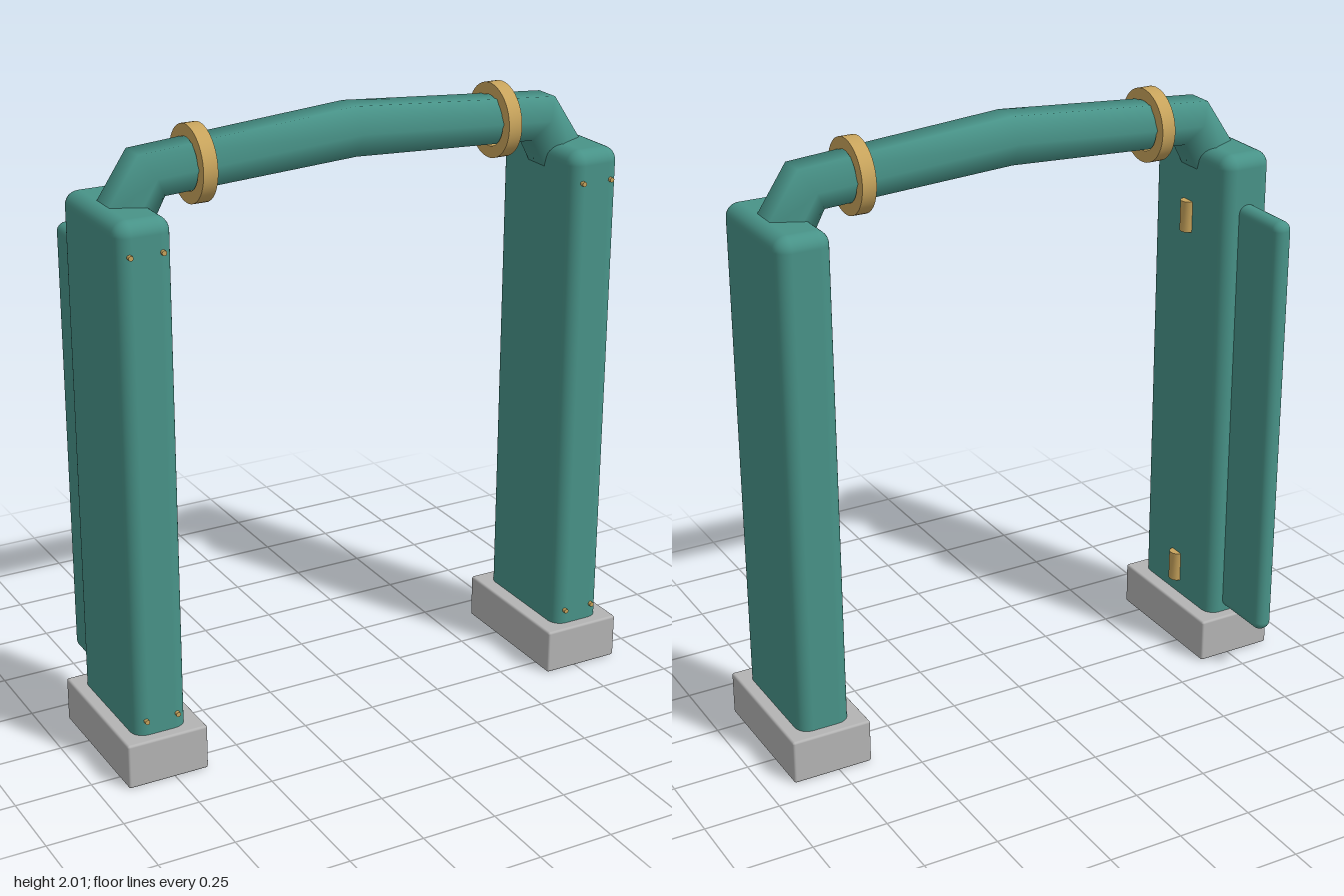
import * as THREE from 'three';
import { toCreasedNormals } from 'three/addons/utils/BufferGeometryUtils.js';
import { RoundedBoxGeometry } from 'three/addons/geometries/RoundedBoxGeometry.js';

const MID_Z = 0.085;   // shared depth of pillars, pipe and collars
const POST_X = 0.775;

function paint(name, color) {
  const m = new THREE.MeshStandardMaterial({ color });
  m.name = name;
  return m;
}

// Six-sided pipe: one ring per path point, square to the averaged direction
function pipeGeometry(path, radius) {
  const rows = path.length - 1;
  const geo = new THREE.CylinderGeometry(1, 1, 1, 6, rows, true);
  const pos = geo.attributes.position, nor = geo.attributes.normal;
  const zAxis = new THREE.Vector3(0, 0, 1);
  const dir = (i) => path[i + 1].clone().sub(path[i]).normalize();
  for (let k = 0; k < pos.count; k++) {
    const i = Math.round((pos.getY(k) + 0.5) * rows);
    const tangent = dir(Math.max(i - 1, 0)).add(dir(Math.min(i, rows - 1))).normalize();
    const radial = tangent.cross(zAxis).multiplyScalar(pos.getX(k)).addScaledVector(zAxis, pos.getZ(k));
    nor.setXYZ(k, radial.x, radial.y, radial.z);
    const p = path[i].clone().addScaledVector(radial, radius);
    pos.setXYZ(k, p.x, p.y, p.z);
  }
  return geo;
}

// Flat band around the pipe, its axis along x
function collarGeometry(outer, inner, width) {
  const shape = new THREE.Shape().absarc(0, 0, outer, 0, Math.PI * 2);
  shape.holes.push(new THREE.Path().absarc(0, 0, inner, 0, Math.PI * 2, true));
  const geo = new THREE.ExtrudeGeometry(shape, { depth: width, bevelEnabled: false, curveSegments: 24 });
  geo.translate(0, 0, -width / 2).rotateY(Math.PI / 2);
  return toCreasedNormals(geo, 0.6);
}

export function createModel() {
  const group = new THREE.Group();
  const teal = paint('teal enamel', 0x489388);
  const brass = paint('brass', 0xc8a45c);
  const stone = paint('grey concrete', 0xb4b4b4);

  const add = (name, geo, mat, x, y, z) => {
    const mesh = new THREE.Mesh(geo, mat);
    mesh.name = name;
    mesh.position.set(x, y, z);
    group.add(mesh);
    return mesh;
  };

  const baseGeo = new RoundedBoxGeometry(0.27, 0.15, 0.495, 2, 0.008);
  const pillarGeo = new RoundedBoxGeometry(0.178, 1.8, 0.42, 4, 0.045);
  const collarGeo = collarGeometry(0.12, 0.082, 0.047);
  const screwGeo = new THREE.CylinderGeometry(0.008, 0.008, 0.02, 10).rotateX(Math.PI / 2);

  for (const side of [-1, 1]) {
    const label = side > 0 ? 'left' : 'right';
    add(label + 'Base', baseGeo, stone, side * 0.772, 0.075, MID_Z);
    add(label + 'Pillar', pillarGeo, teal, side * POST_X, 0.9, MID_Z);
    add(label + 'Collar', collarGeo, brass, side * 0.524, 1.885, MID_Z);
    // Screws on the front face
    for (const dx of [-0.052, 0.052])
      for (const y of [0.2, 1.7])
        add(label + 'Screw', screwGeo, brass, side * POST_X + dx, y, 0.296);
  }

  // Crossing pipe, bent at both shoulders and slightly peaked at the middle
  const path = [[-0.775, 1.72], [-0.678, 1.878], [0, 1.922], [0.678, 1.878], [0.775, 1.72]]
    .map(([x, y]) => new THREE.Vector3(x, y, 0));
  add('crossPipe', pipeGeometry(path, 0.09), teal, 0, 0, MID_Z);

  // Thin door leaf behind the right pillar
  add('doorLeaf', new RoundedBoxGeometry(0.064, 1.47, 0.27, 4, 0.03), teal, -POST_X, 0.9, -0.2);

  // Hinge barrels on the inner face of the right pillar
  const hingeGeo = toCreasedNormals(new THREE.CylinderGeometry(0.027, 0.027, 0.105, 12), 0.8);
  for (const y of [0.253, 1.552]) add('hinge', hingeGeo, brass, -0.688, y, MID_Z);

  return group;
}
